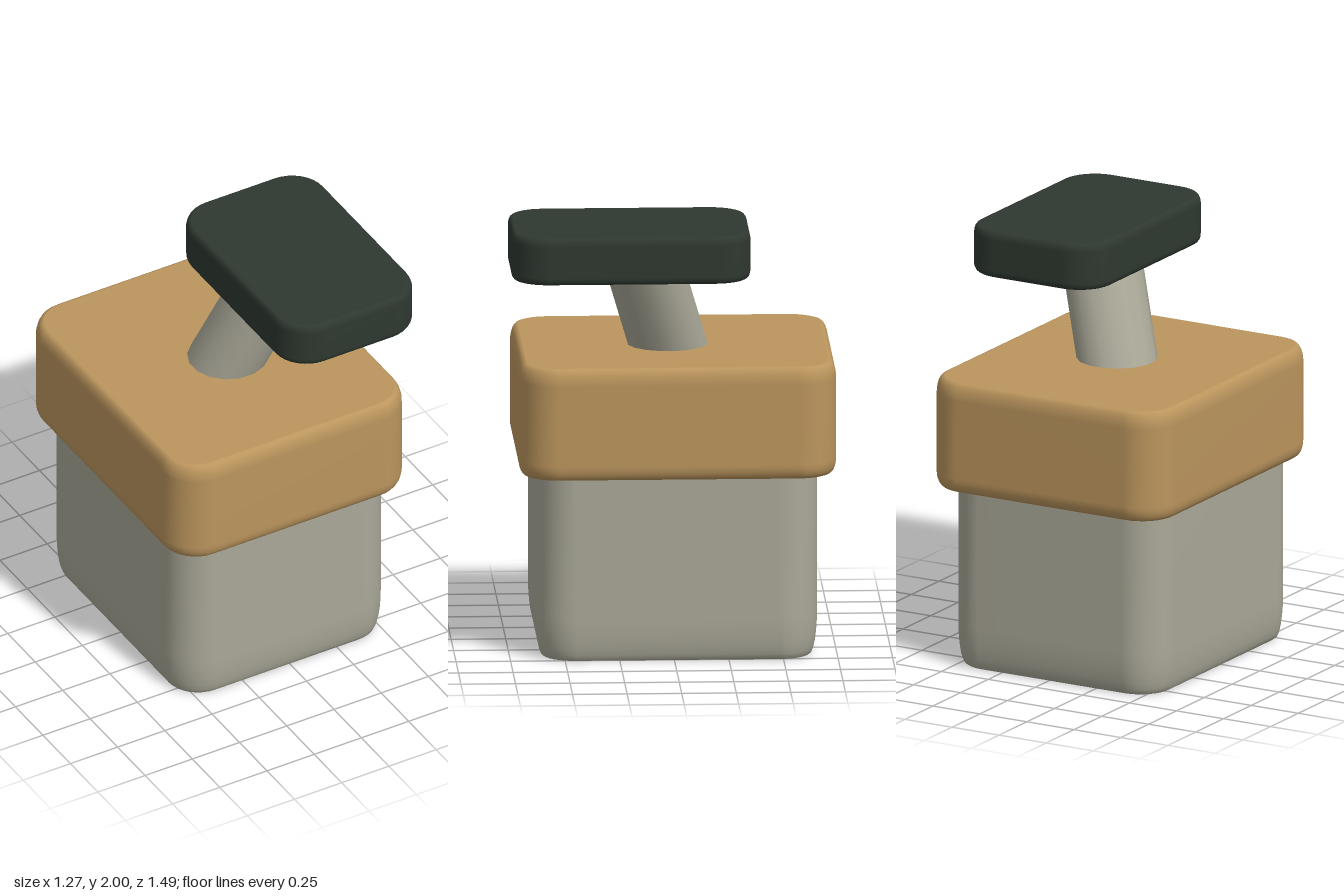
import * as THREE from 'three';

const stone = new THREE.MeshStandardMaterial({ color: 0xaaa898 });
stone.name = 'warm grey';
const tan = new THREE.MeshStandardMaterial({ color: 0xbb955d });
tan.name = 'tan';
const dark = new THREE.MeshStandardMaterial({ color: 0x2e3830 });
dark.name = 'dark green';

// Rounded-rectangle outline with corner radius r, shrunk by an inset
function outline(x0, x1, z0, z1, r, inset) {
  const n = 8, pts = [];
  const corners = [[x1 - r, z1 - r], [x0 + r, z1 - r], [x0 + r, z0 + r], [x1 - r, z0 + r]];
  corners.forEach(([cx, cz], q) => {
    for (let i = 0; i <= n; i++) {
      const a = (q + i / n) * Math.PI / 2;
      pts.push([cx + (r - inset) * Math.cos(a), cz + (r - inset) * Math.sin(a)]);
    }
  });
  return pts;
}

// Block lofted through outlines, with elliptical easing at the bottom and top edges
function roundedBlock({ x, z, y, r, inset, bottom, top }) {
  const steps = 6, profile = [];
  const ease = (i) => (i / steps) * Math.PI / 2;
  for (let i = 0; i <= steps; i++) {
    profile.push([y[0] + bottom * (1 - Math.cos(ease(i))), inset * (1 - Math.sin(ease(i)))]);
  }
  for (let i = 0; i <= steps; i++) {
    profile.push([y[1] - top * (1 - Math.sin(ease(i))), inset * (1 - Math.cos(ease(i)))]);
  }
  const pos = [], index = [];
  const addRing = ([h, d]) => {
    const start = pos.length / 3;
    for (const [px, pz] of outline(...x, ...z, r, d)) pos.push(px, h, pz);
    return start;
  };
  const starts = profile.map(addRing);
  const n = pos.length / 3 / starts.length;
  for (let k = 0; k < starts.length - 1; k++) {
    for (let j = 0; j < n; j++) {
      const a = starts[k] + j, b = starts[k] + (j + 1) % n;
      const c = starts[k + 1] + j, d = starts[k + 1] + (j + 1) % n;
      index.push(a, c, b, b, c, d);
    }
  }
  // flat caps on their own vertices
  [profile[0], profile[profile.length - 1]].forEach((p, isTop) => {
    const s = addRing(p), mid = pos.length / 3;
    pos.push((x[0] + x[1]) / 2, p[0], (z[0] + z[1]) / 2);
    for (let j = 0; j < n; j++) {
      const a = s + j, b = s + (j + 1) % n;
      if (isTop) index.push(mid, b, a);
      else index.push(mid, a, b);
    }
  });
  const g = new THREE.BufferGeometry();
  g.setAttribute('position', new THREE.Float32BufferAttribute(pos, 3));
  g.setIndex(index);
  g.computeVertexNormals();
  return g;
}

export function createModel() {
  const model = new THREE.Group();
  model.name = 'blockWithLeaningKnob';
  const add = (name, geometry, material) => {
    const m = new THREE.Mesh(geometry, material);
    m.name = name;
    model.add(m);
    return m;
  };

  // grey base, tucked in at the foot
  add('base', roundedBlock({
    x: [-0.58, 0.54], z: [-0.66, 0.63], y: [0, 0.9], r: 0.18, inset: 0.035, bottom: 0.2, top: 0.01,
  }), stone);

  // tan lid
  add('lid', roundedBlock({
    x: [-0.64, 0.605], z: [-0.745, 0.71], y: [0.857, 1.38], r: 0.18, inset: 0.035, bottom: 0.07, top: 0.08,
  }), tan);

  // leaning post: an upright cylinder sheared sideways
  const post = new THREE.CylinderGeometry(0.186, 0.186, 0.46, 16, 1);
  post.rotateY(Math.PI / 16);
  post.applyMatrix4(new THREE.Matrix4().set(
    1, 0.365, 0, 0.087,
    0, 1, 0, 1.58,
    0, 0.29, 1, 0.067,
    0, 0, 0, 1));
  add('post', post, stone);

  // dark top plate
  add('topPlate', roundedBlock({
    x: [-0.07, 0.635], z: [-0.35, 0.745], y: [1.78, 2], r: 0.17, inset: 0.022, bottom: 0.035, top: 0.04,
  }), dark);

  return model;
}
